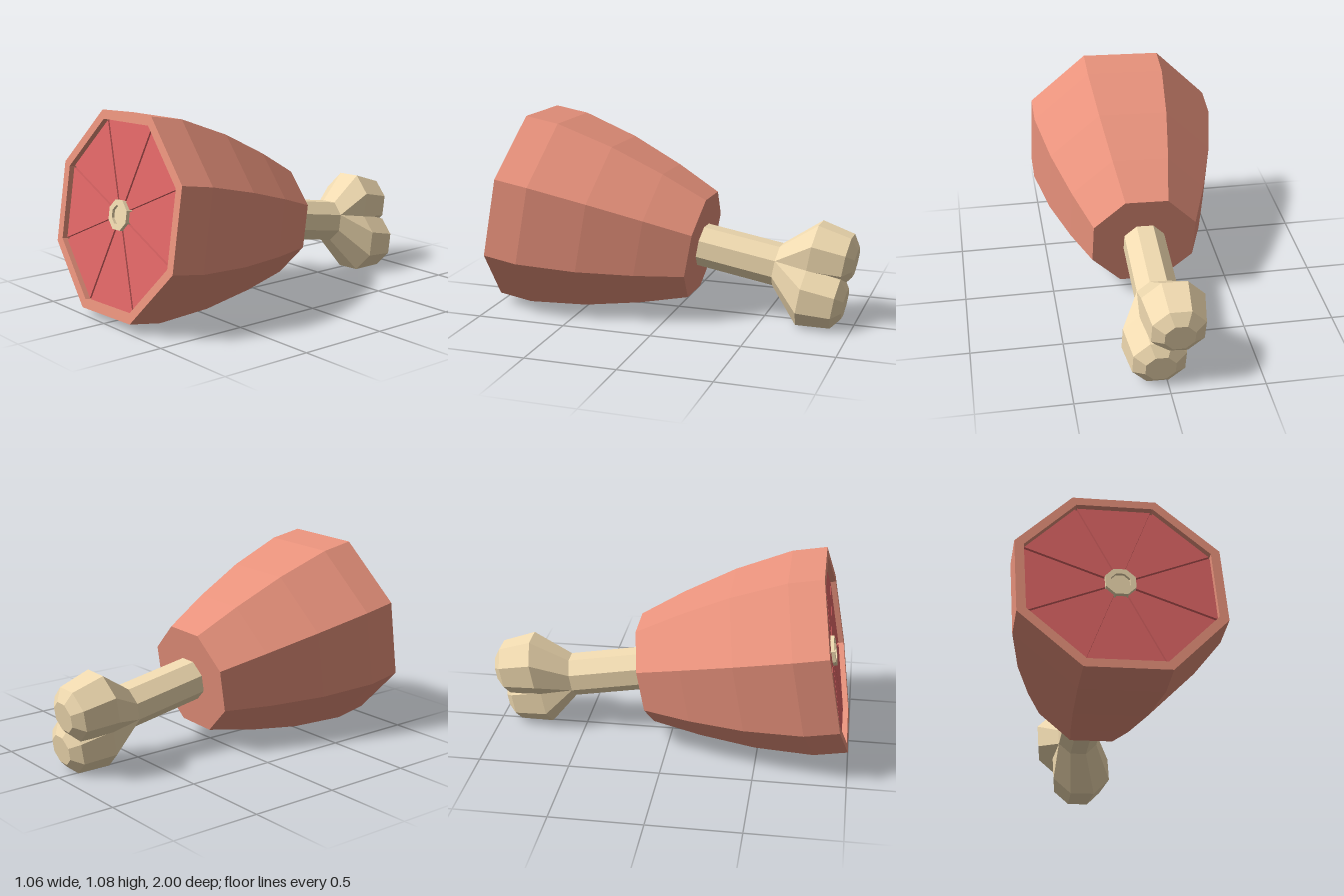
import * as THREE from 'three';

const SIDES = 8;
const ROLL = THREE.MathUtils.degToRad(24.3); // angle of the first octagon corner
const STEP = (Math.PI * 2) / SIDES;

const material = (color) => new THREE.MeshStandardMaterial({ color, flatShading: true });
const fat = material(0xe8927c);
const meat = material(0xe06666);
const bone = material(0xf0dab0);

// Octagonal loft running backwards; each ring is [distance from front, radius, centre x, centre y]
function loft(name, mat, rings) {
  const pos = [];
  const corner = ([t, r, cx = 0, cy = 0], i) => {
    const a = ROLL + i * STEP;
    return [cx + r * Math.cos(a), cy + r * Math.sin(a), -t];
  };
  for (let k = 0; k < rings.length - 1; k++) {
    const front = rings[k], back = rings[k + 1];
    for (let i = 0; i < SIDES; i++) {
      const a = corner(front, i), b = corner(front, i + 1);
      const c = corner(back, i + 1), d = corner(back, i);
      if (back[1] > 0) pos.push(...a, ...d, ...c);
      if (front[1] > 0) pos.push(...a, ...c, ...b);
    }
  }
  const geo = new THREE.BufferGeometry();
  geo.setAttribute('position', new THREE.Float32BufferAttribute(pos, 3));
  geo.computeVertexNormals();
  const mesh = new THREE.Mesh(geo, mat);
  mesh.name = name;
  return mesh;
}

// Eight thin wedges of meat with narrow grooves between them
function meatWedges() {
  const group = new THREE.Group();
  group.name = 'meatWedges';
  const half = STEP / 2, gap = 0.006, inner = 0.07, outer = 0.515 * Math.cos(half);
  const w = (u) => u * Math.tan(half) - gap / Math.cos(half);
  const shape = new THREE.Shape([
    new THREE.Vector2(inner, -w(inner)),
    new THREE.Vector2(outer, -w(outer)),
    new THREE.Vector2(outer, w(outer)),
    new THREE.Vector2(inner, w(inner)),
  ]);
  const geo = new THREE.ExtrudeGeometry(shape, { depth: 0.015, bevelEnabled: false });
  for (let i = 0; i < SIDES; i++) {
    const wedge = new THREE.Mesh(geo, meat);
    wedge.name = 'meatWedge';
    wedge.position.z = -0.045;
    wedge.rotation.z = ROLL + (i + 0.5) * STEP;
    group.add(wedge);
  }
  return group;
}

export function createModel() {
  const model = new THREE.Group();
  model.name = 'hamLeg';

  // Everything is built along one axis, then tilted so the cut face looks slightly up
  const leg = new THREE.Group();
  leg.name = 'leg';
  leg.position.set(0, 0.565, 0.91);
  leg.rotation.x = -0.171;
  model.add(leg);

  // Skin: rim around the cut, bulging side, flat back
  leg.add(loft('skin', fat, [
    [0.045, 0.515], [0, 0.515], [0, 0.566], [0.19, 0.566], [0.51, 0.5],
    [0.81, 0.405], [1.065, 0.306], [1.065, 0],
  ]));

  // Cut face
  leg.add(loft('cutFaceFloor', meat, [[0.045, 0], [0.045, 0.515]]));
  leg.add(meatWedges());
  leg.add(loft('boneEnd', bone, [
    [0.025, 0], [0.025, 0.052], [0.01, 0.052], [0.01, 0.083], [0.045, 0.083],
  ]));

  // Bone shaft and its two knuckles, placed opposite each other
  leg.add(loft('boneShaft', bone, [[1.05, 0.12], [1.52, 0.12]]));
  for (const [name, s] of [['upperKnuckle', 1], ['lowerKnuckle', -1]]) {
    const x = -0.045 * s, y = 0.107 * s;
    leg.add(loft(name, bone, [
      [1.5, 0.12], [1.68, 0.18, x, y], [1.865, 0.15, x, y], [1.91, 0.085, x, y], [1.91, 0, x, y],
    ]));
  }
  return model;
}
